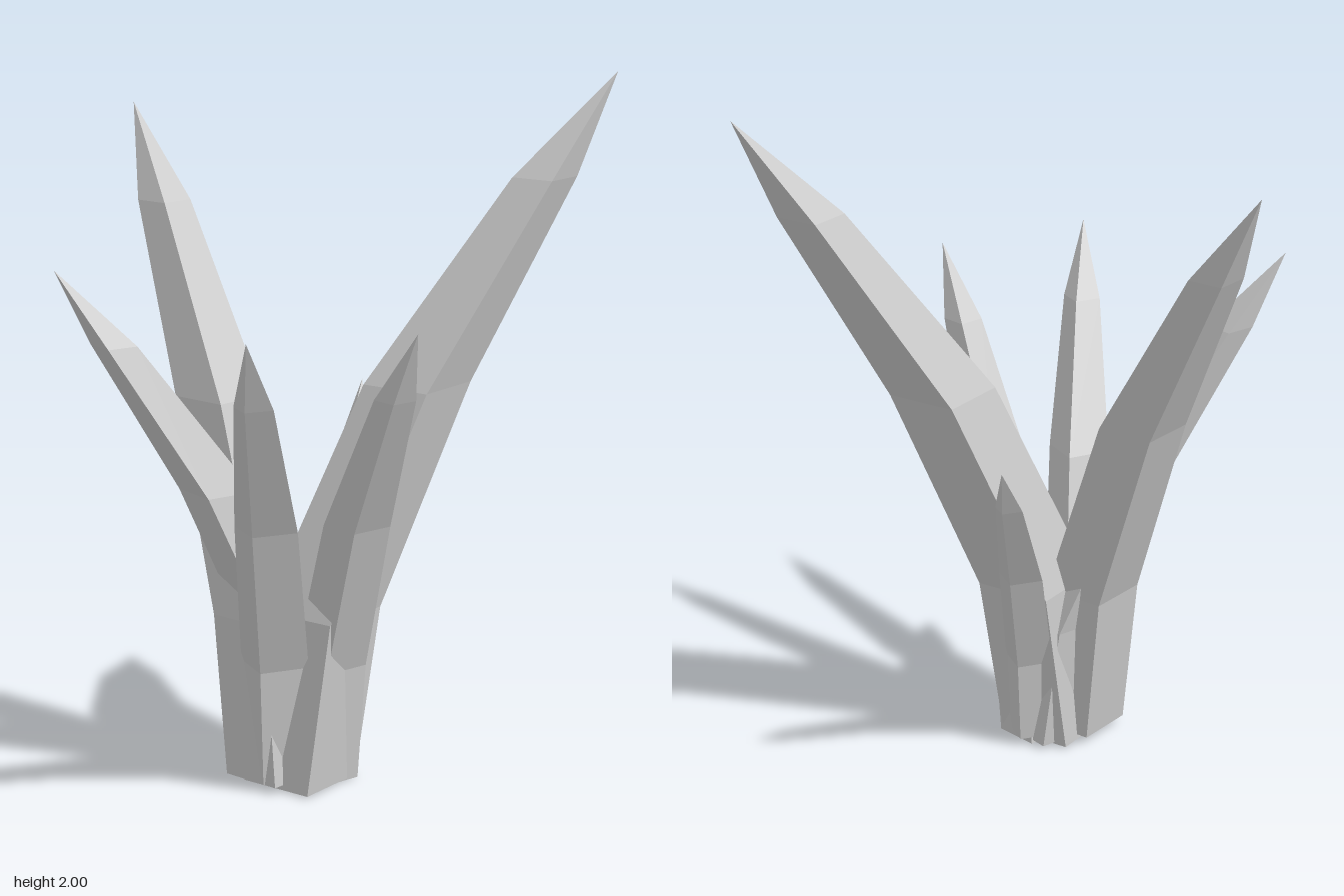
import * as THREE from 'three';

// shared growth rule of every leaf, from base to tip
const HEIGHT = [0, 0.25, 0.57, 0.855, 1]; // share of the tip height
const LEAN = [0, 0.07, 0.37, 0.77, 1]; // share of the way from base to tip, sideways
const WIDTH = [1.05, 1.1, 1, 0.61, 0]; // share of the half diagonal

// four-sided spike: base [x, y, z], tip [x, y, z], half diagonal, direction of the outer keel in degrees
const LEAVES = [
  ['tallBackLeaf', [0.13, 0.005, 0.16], [0.485, 2.0, -0.71], 0.153, -58],
  ['rightLeaf', [0.08, 0.02, 0.22], [-0.7, 1.87, 0.11], 0.125, 216],
  ['frontRightLeaf', [0.11, 0.01, 0.11], [-0.265, 1.49, 0.705], 0.108, 140],
  ['frontLeftLeaf', [0.1, 0.02, 0.22], [0.555, 1.41, 0.685], 0.094, 62],
  ['leftLeaf', [0.155, 0, 0.09], [0.7, 1.4, 0.23], 0.092, 45],
  ['smallBackLeaf', [0.13, 0.02, 0.06], [-0.17, 1.06, -0.33], 0.07, 249],
];

function leafGeometry(base, tip, half, keel) {
  const indexed = new THREE.CylinderGeometry(0, 1, 1, 4, 4);
  const p = indexed.attributes.position;
  const a = THREE.MathUtils.degToRad(keel);
  const c = Math.cos(a), s = Math.sin(a);
  for (let i = 0; i < p.count; i++) {
    const k = Math.round((p.getY(i) + 0.5) * 4);
    // undo the cone taper, then apply the leaf taper, turn and lean
    const r = k === 4 ? 0 : (half * WIDTH[k]) / (1 - k / 4);
    const x = p.getX(i) * r, z = p.getZ(i) * r;
    p.setXYZ(i,
      THREE.MathUtils.lerp(base[0], tip[0], LEAN[k]) + x * c - z * s,
      THREE.MathUtils.lerp(base[1], tip[1], HEIGHT[k]),
      THREE.MathUtils.lerp(base[2], tip[2], LEAN[k]) + x * s + z * c);
  }
  const geometry = indexed.toNonIndexed();
  geometry.computeVertexNormals();
  return geometry;
}

export function createModel() {
  const plant = new THREE.Group();
  plant.name = 'spikyPlant';
  const material = new THREE.MeshStandardMaterial({ color: 0xcccccc, flatShading: true });
  for (const [name, base, tip, half, keel] of LEAVES) {
    const leaf = new THREE.Mesh(leafGeometry(base, tip, half, keel), material);
    leaf.name = name;
    plant.add(leaf);
  }
  return plant;
}
